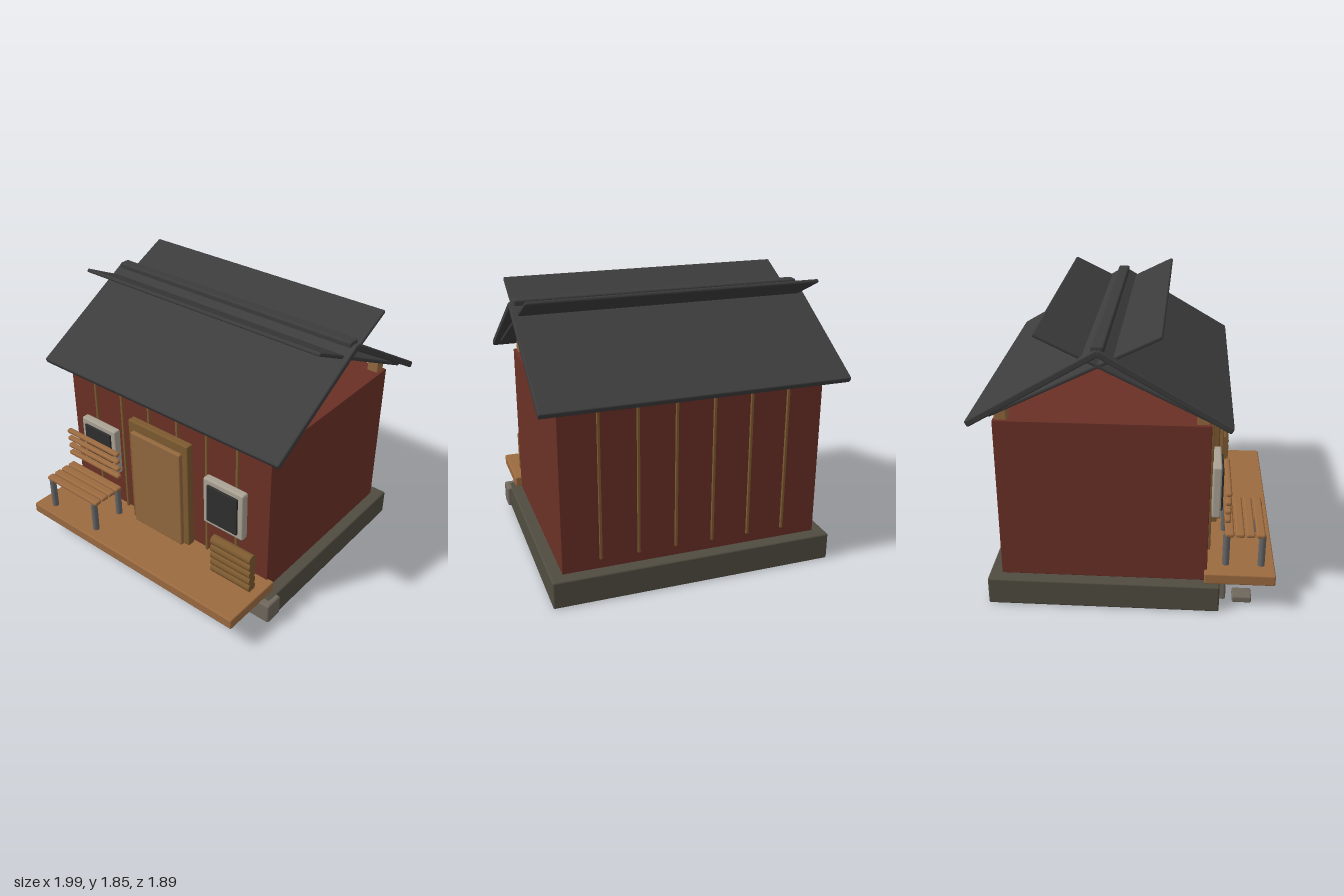
import * as THREE from 'three';
import { RoundedBoxGeometry } from 'three/addons/geometries/RoundedBoxGeometry.js';

const mat = (color) => new THREE.MeshStandardMaterial({ color });
const M = {
  wall: mat(0x6a3026), foundation: mat(0x504c40), stoneA: mat(0x5f594f), stoneB: mat(0x6f675c),
  deck: mat(0x9c6b40), frame: mat(0x7d5a30), door: mat(0x92683e), trim: mat(0xaaa294),
  glass: mat(0x2e2e2e), slat: mat(0x9c6b40), leg: mat(0x666666), log: mat(0x7d5a30), roof: mat(0x3c3c3c),
};

export function createModel() {
  const model = new THREE.Group();
  model.name = 'cabin';

  // Rounded box given by its [min, max] range along each axis
  const box = (name, material, [x0, x1], [y0, y1], [z0, z1], r = 0.008, parent = model) => {
    const w = x1 - x0, h = y1 - y0, d = z1 - z0;
    const geo = new RoundedBoxGeometry(w, h, d, 2, Math.min(r, w / 2.2, h / 2.2, d / 2.2));
    const mesh = new THREE.Mesh(geo, material);
    mesh.position.set((x0 + x1) / 2, (y0 + y1) / 2, (z0 + z1) / 2);
    mesh.name = name;
    parent.add(mesh);
    return mesh;
  };
  const cylinder = (name, material, r, len, x, y, z, parent) => {
    const mesh = new THREE.Mesh(new THREE.CylinderGeometry(r, r, len, 16), material);
    mesh.position.set(x, y, z);
    mesh.name = name;
    parent.add(mesh);
    return mesh;
  };
  const group = (name) => {
    const g = new THREE.Group();
    g.name = name;
    model.add(g);
    return g;
  };

  // Foundation, its facing stones and the stepping stones
  box('foundation', M.foundation, [-0.95, 0.95], [0, 0.185], [-0.895, 0.597], 0.012);
  const stones = group('facingStones');
  for (let i = 0; i < 7; i++) {
    const x = -0.74 + i * 0.266;
    box('facingStone', i % 3 ? M.stoneA : M.stoneB, [x - 0.123, x + 0.123], [0.035, 0.182], [0.505, 0.64], 0.014, stones);
  }
  for (const x of [-0.785, -0.36]) box('steppingStone', M.stoneB, [x - 0.055, x + 0.055], [0, 0.045], [0.685, 0.81], 0.01);

  // Deck and walls
  box('deck', M.deck, [-0.92, 0.915], [0.19, 0.265], [0.497, 0.95], 0.01);
  box('walls', M.wall, [-0.87, 0.87], [0.185, 1.267], [-0.813, 0.515], 0.004);

  // Thin battens on the front and back walls
  const battens = group('battens');
  for (let i = 0; i < 6; i++) {
    const x = -0.623 + i * 0.249;
    for (const z of [0.529, -0.827]) box('batten', M.frame, [x - 0.009, x + 0.009], [0.258, 1.27], [z - 0.009, z + 0.009], 0.004, battens);
  }

  // Corner post tops
  for (const x of [-0.81, 0.81]) {
    for (const z of [0.463, -0.763]) box('cornerPost', M.door, [x - 0.04, x + 0.04], [1.2, 1.347], [z - 0.039, z + 0.039], 0.008);
  }

  // Door
  box('doorFrame', M.frame, [-0.265, 0.26], [0.262, 1.085], [0.53, 0.587], 0.01);
  box('door', M.door, [-0.222, 0.215], [0.262, 1.015], [0.54, 0.615], 0.01);

  // Windows
  for (const x of [-0.562, 0.555]) {
    box('windowFrame', M.trim, [x - 0.162, x + 0.162], [0.56, 0.92], [0.535, 0.592], 0.012);
    box('windowPane', M.glass, [x - 0.123, x + 0.123], [0.595, 0.882], [0.55, 0.606], 0.006);
  }

  // Bench
  const bench = group('bench');
  for (let i = 0; i < 4; i++) {
    const z = 0.85 - i * 0.066, y = 0.785 - i * 0.0615;
    box('seatSlat', M.slat, [-0.83, -0.33], [0.481, 0.511], [z - 0.029, z + 0.029], 0.013, bench);
    box('backSlat', M.slat, [-0.83, -0.33], [y - 0.016, y + 0.016], [0.615, 0.655], 0.014, bench);
  }
  for (const x of [-0.79, -0.366]) {
    for (const z of [0.863, 0.635]) cylinder('benchLeg', M.leg, 0.023, 0.23, x, 0.376, z, bench);
  }

  // Firewood stack
  const firewood = group('firewood');
  for (let i = 0; i < 5; i++) {
    cylinder('log', M.log, 0.035, 0.32, 0.69, 0.29 + i * 0.058, 0.653, firewood).rotation.z = Math.PI / 2;
  }

  // Roof: a slab on each side, with overlapping boards that cross through the ridge
  const ridgeZ = -0.153;
  const slope = (name, side, halfX, a, b, thick, parent) => {
    // a and b are [distance from ridge, height] of the board's two ends
    const len = Math.hypot(b[0] - a[0], b[1] - a[1]);
    const mesh = box(name, M.roof, [-halfX, halfX], [-thick / 2, thick / 2], [-len / 2, len / 2], 0.01, parent);
    mesh.position.set(0, (a[1] + b[1]) / 2, ridgeZ + side * (a[0] + b[0]) / 2);
    mesh.rotation.x = side * Math.atan2(a[1] - b[1], b[0] - a[0]);
  };
  const roof = group('roof');
  for (const side of [1, -1]) {
    slope('roofSlab', side, 0.997, [-0.005, 1.752], [0.785, 1.291], 0.042, roof);
    for (let i = 0; i < 3; i++) {
      const d = -0.37 + i * 0.236, y = 1.843 - i * 0.116;
      slope('roofBoard', side, 0.96, [d, y], [d + 0.56, y - 0.275], 0.025, roof);
    }
  }
  box('ridgeCap', M.roof, [-0.975, 0.97], [1.735, 1.788], [ridgeZ - 0.04, ridgeZ + 0.04], 0.014, roof);

  return model;
}
